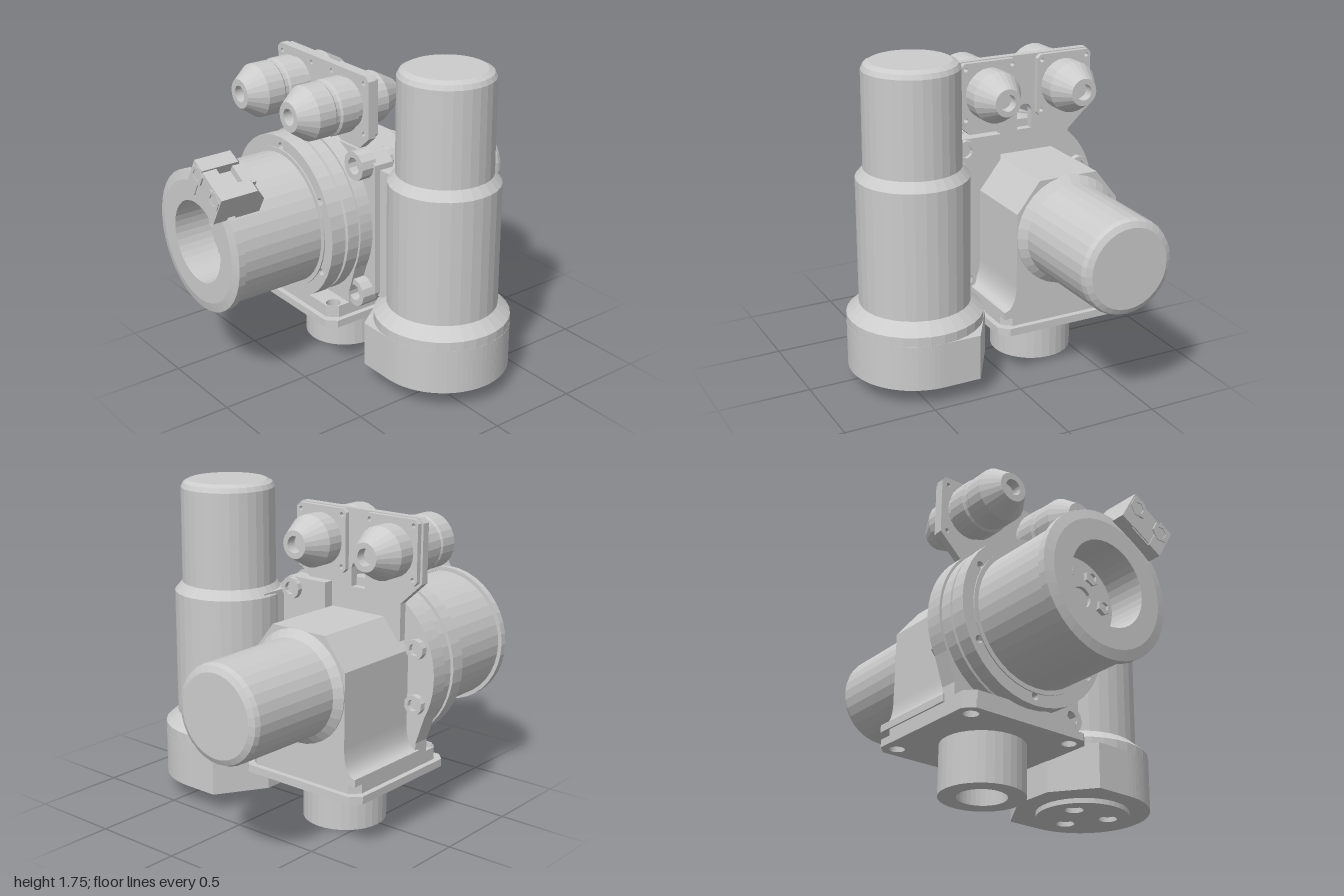
import * as THREE from 'three';

const mat = new THREE.MeshStandardMaterial({ color: 0xcccccc, flatShading: true });
const V = (p) => p.map(([x, y]) => new THREE.Vector2(x, y));
const CX = -0.325, CY = 0.82; // main drive axis, along z
const MX = 0.427, MZ = -0.105; // upright motor axis

function add(parent, name, geo, x = 0, y = 0, z = 0) {
  const m = new THREE.Mesh(geo, mat);
  m.name = name;
  m.position.set(x, y, z);
  parent.add(m);
  return m;
}

// Turned part; profile is [radius, position along axis], rising outside
function turned(parent, name, profile, axis, x, y, z, seg = 32) {
  const g = new THREE.LatheGeometry(V(profile), seg);
  if (axis === 'z') g.rotateX(Math.PI / 2);
  if (axis === '-z') g.rotateX(-Math.PI / 2);
  return add(parent, name, g, x, y, z);
}

function hole(shape, x, y, r) {
  shape.holes.push(new THREE.Path().absarc(x, y, r, 0, Math.PI * 2, true));
}

// Flat part; up = true lays the outline in x and -z and extrudes along y
function plate(parent, name, shape, depth, x, y, z, up = false) {
  const g = new THREE.ExtrudeGeometry(shape, { depth, bevelEnabled: false, curveSegments: 20 });
  if (up) g.rotateX(-Math.PI / 2);
  return add(parent, name, g, x, y, z);
}

function chamferedRect(w, h, c) {
  return new THREE.Shape(V([[-w + c, -h], [w - c, -h], [w, -h + c], [w, h - c],
    [w - c, h], [-w + c, h], [-w, h - c], [-w, -h + c]]));
}

// Cup with a sunken socket, for screws and bosses
function socket(parent, name, r, h, axis, x, y, z, seg = 10) {
  const i = r * 0.58, d = h - Math.min(h * 0.6, 0.05);
  return turned(parent, name, [[0, 0], [r, 0], [r, h], [i, h], [i, d], [0, d]], axis, x, y, z, seg);
}

function ring(n, r, start, fn) {
  for (let i = 0; i < n; i++) {
    const a = start + (i * Math.PI * 2) / n;
    fn(r * Math.cos(a), r * Math.sin(a));
  }
}

function mainDrive(g) {
  // Rear motor with rounded end
  turned(g, 'rearMotor', [[0, 0.38], [0.3, 0.38], [0.3, 0.405], [0.26, 0.44], [0.255, 0.96],
    [0.245, 0.985], [0.215, 1], [0, 1]], '-z', CX, CY, 0);

  // Gear housing: faceted top, flared foot
  const s = new THREE.Shape();
  s.moveTo(-0.37, -0.45);
  s.lineTo(0.37, -0.45);
  s.lineTo(0.37, -0.41);
  s.quadraticCurveTo(0.3, -0.4, 0.3, -0.26);
  for (const [x, y] of [[0.3, 0.13], [0.17, 0.295], [-0.17, 0.295], [-0.3, 0.13], [-0.3, -0.26]]) s.lineTo(x, y);
  s.quadraticCurveTo(-0.3, -0.4, -0.37, -0.41);
  plate(g, 'gearHousing', s, 0.54, CX, CY, -0.4);

  // Round mounting flange that runs down into the foot
  const f = new THREE.Shape();
  f.moveTo(-0.36, -0.45);
  f.lineTo(0.36, -0.45);
  f.lineTo(0.36, -0.37);
  f.lineTo(0.412, -0.216);
  f.absarc(0, 0, 0.465, -0.483, Math.PI + 0.483, false);
  f.lineTo(-0.36, -0.37);
  plate(g, 'mountingFlange', f, 0.1, CX, CY, 0.12);
  ring(8, 0.39, Math.PI / 8, (x, y) =>
    socket(g, 'flangeRearScrew', 0.055, 0.04, '-z', CX + x, CY + y, 0.125));

  turned(g, 'flangeRings', [[0, 0.2], [0.452, 0.2], [0.452, 0.29], [0.435, 0.295], [0.435, 0.32], [0, 0.32]],
    'z', CX, CY, 0, 40);
  const d = new THREE.Shape().absarc(0, 0, 0.455, 0, Math.PI * 2, false);
  ring(6, 0.405, Math.PI / 6, (x, y) => hole(d, x, y, 0.02));
  plate(g, 'flangeCover', d, 0.085, CX, CY, 0.31);

  // Output drum with hollow front
  turned(g, 'outputDrum', [[0, 0.38], [0.39, 0.38], [0.39, 0.402], [0.365, 0.402], [0.365, 0.88],
    [0.387, 0.88], [0.387, 0.92], [0.335, 0.932], [0.225, 0.932], [0.225, 0.72], [0, 0.72]], 'z', CX, CY, 0, 40);
  turned(g, 'hub', [[0, 0], [0.1, 0], [0.1, 0.03], [0.055, 0.03], [0.055, 0.01], [0, 0.01]], 'z', CX, CY, 0.72, 24);
  ring(6, 0.155, 0, (x, y) => socket(g, 'hubScrew', 0.042, 0.025, 'z', CX + x, CY + y, 0.72, 6));
}

// Clamp block on the drum rim, turned to face outward
function rimClamp(g) {
  const c = new THREE.Group();
  c.name = 'rimClamp';
  c.position.set(CX, CY, 0);
  c.rotation.z = -Math.PI / 6;
  g.add(c);
  const side = new THREE.Shape(V([[-1, 0.34], [-0.73, 0.34], [-0.73, 0.44], [-0.79, 0.52], [-1, 0.52]]));
  for (const s of [-1, 1]) {
    const b = plate(c, 'clampCheek', side, 0.08, s * 0.1 - 0.04, 0, 0);
    b.rotation.y = Math.PI / 2;
    socket(c, 'clampScrew', 0.055, 0.04, 'z', s * 0.085, 0.465, 0.965, 6);
  }
  add(c, 'clampBase', new THREE.BoxGeometry(0.14, 0.12, 0.25), 0, 0.4, 0.865);
  add(c, 'clampFront', new THREE.BoxGeometry(0.14, 0.16, 0.08), 0, 0.43, 0.955);
  add(c, 'clampRear', new THREE.BoxGeometry(0.14, 0.12, 0.07), 0, 0.44, 0.785);
}

function foot(g) {
  const z = -0.02;
  for (const [name, w, y, h] of [['basePlate', 0.39, 0.272, 0.042], ['baseStep', 0.36, 0.312, 0.07]]) {
    const s = chamferedRect(w, w, 0.05);
    for (const i of [-1, 1]) for (const j of [-1, 1]) hole(s, i * 0.31, j * 0.31, 0.04);
    plate(g, name, s, h, CX, y, z, true);
  }
  // Hollow output sleeve
  turned(g, 'sleeve', [[0, 0.1], [0.13, 0.1], [0.13, 0], [0.225, 0], [0.225, 0.29], [0, 0.29]], 'y', CX, 0, -0.015);
}

function uprightMotor(g) {
  turned(g, 'uprightMotor', [[0, 0.1], [0.365, 0.1], [0.365, 0.4], [0.297, 0.46], [0.297, 1.15],
    [0.256, 1.2], [0.253, 1.715], [0.24, 1.74], [0.21, 1.755], [0, 1.755]], 'y', MX, 0, MZ);

  // D-shaped base with an angled inner side
  const s = new THREE.Shape(V([[-0.205, 0.365], [-0.367, 0.1], [-0.367, -0.14], [-0.205, -0.365]]));
  s.lineTo(0, -0.365);
  s.absarc(0, 0, 0.365, -Math.PI / 2, Math.PI / 2, false);
  plate(g, 'motorBase', s, 0.25, MX, 0.1, MZ, true);
  turned(g, 'baseShoulder', [[0.3, 0.35], [0.365, 0.35], [0.297, 0.42]], 'y', MX, 0, MZ);
  const slope = new THREE.Shape(V([[0.06, 0.34], [0.25, 0.34], [0.25, 0.46], [0.14, 0.46], [0.06, 0.36]]));
  plate(g, 'baseSlope', slope, 0.22, 0, 0, -0.2);

  // Bottom cover with three openings
  const c = new THREE.Shape().absarc(0, 0, 0.253, 0, Math.PI * 2, false);
  ring(3, 0.14, Math.PI / 2, (x, y) => hole(c, x, y, 0.05));
  plate(g, 'bottomCover', c, 0.03, MX, 0.073, MZ, true);

  // Adapter joining both drives
  const a = new THREE.Shape(V([[-0.15, 0.38], [0.1, 0.38], [0.16, 0.46], [0.16, 1.2], [0.1, 1.25], [-0.15, 1.25]]));
  plate(g, 'adapterPlate', a, 0.12, 0, 0, 0.02);
  add(g, 'adapterBlock', new THREE.BoxGeometry(0.15, 0.74, 0.24), 0.215, 0.8, -0.015);
  for (const y of [1.19, 0.455]) {
    socket(g, 'adapterBoss', 0.08, 0.09, 'z', 0.07, y, 0.12, 12);
    socket(g, 'adapterNut', 0.06, 0.04, '-z', 0.07, y, 0.03, 12);
  }
}

function cableGlands(g) {
  // Carrier plate with arched notch and screw holes
  const glands = [-0.552, -0.095], gy = 1.475;
  const s = new THREE.Shape(V([[-0.6, 1], [-0.05, 1], [-0.05, 1.2], [0.085, 1.32], [0.085, 1.63], [0.06, 1.655],
    [-0.705, 1.655], [-0.73, 1.63], [-0.73, 1.32], [-0.6, 1.2]]));
  const n = new THREE.Path();
  n.moveTo(-0.37, 1.24);
  n.lineTo(-0.37, 1.335);
  n.absarc(CX, 1.335, 0.045, Math.PI, 0, true);
  n.lineTo(-0.28, 1.24);
  s.holes.push(n);
  for (const x of glands) for (const i of [-1, 1]) for (const j of [-1, 1]) hole(s, x + i * 0.138, gy + j * 0.138, 0.012);
  plate(g, 'glandCarrier', s, 0.045, 0, 0, 0.078);

  for (const x of glands) {
    const q = chamferedRect(0.165, 0.17, 0.02);
    for (const i of [-1, 1]) for (const j of [-1, 1]) hole(q, i * 0.138, j * 0.138, 0.012);
    plate(g, 'glandFlange', q, 0.03, x, gy + 0.005, 0.05);
    // Front and rear glands with tapered caps and sockets
    turned(g, 'frontGland', [[0, 0.11], [0.135, 0.11], [0.135, 0.15], [0.152, 0.16], [0.152, 0.26], [0.14, 0.27],
      [0.14, 0.29], [0.147, 0.3], [0.147, 0.4], [0.08, 0.495], [0.045, 0.495], [0.045, 0.44], [0, 0.44]],
    'z', x, gy, 0, 24);
    turned(g, 'rearGland', [[0, -0.06], [0.14, -0.06], [0.14, 0.045], [0.075, 0.165], [0.045, 0.165],
      [0.045, 0.11], [0, 0.11]], '-z', x, gy, 0, 24);
  }
}

export function createModel() {
  const g = new THREE.Group();
  g.name = 'twinGearMotor';
  for (const build of [mainDrive, rimClamp, foot, uprightMotor, cableGlands]) build(g);
  return g;
}
